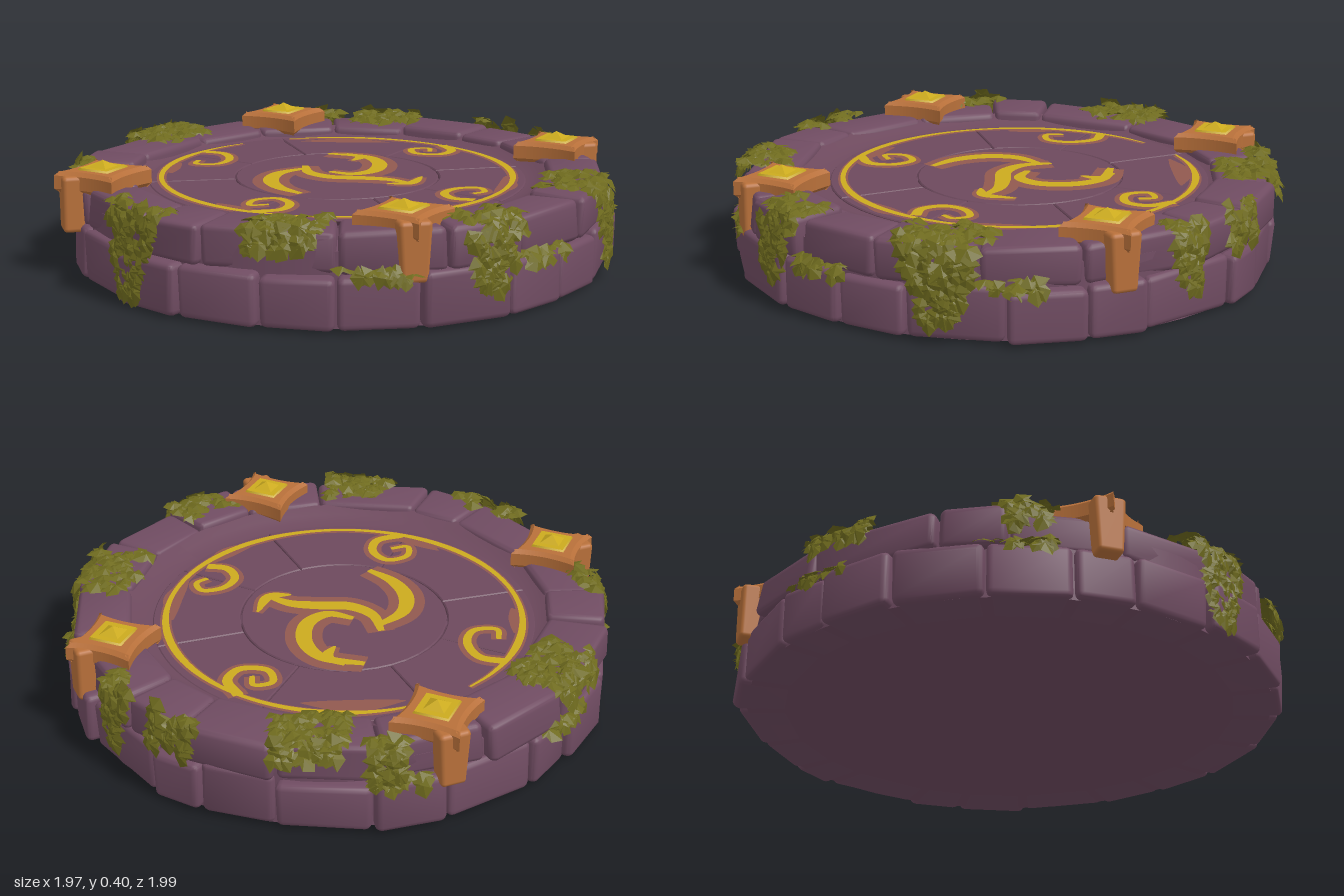
import * as THREE from 'three';
import { mergeGeometries, mergeVertices, toCreasedNormals } from 'three/addons/utils/BufferGeometryUtils.js';
import { RoundedBoxGeometry } from 'three/addons/geometries/RoundedBoxGeometry.js';

const mat = (name, color, side = THREE.FrontSide) => {
  const m = new THREE.MeshStandardMaterial({ color, side });
  m.name = name;
  return m;
};
const M = {
  stone: mat('purpleStone', 0x704c62),
  floor: mat('floorStone', 0x6d495d),
  halo: mat('wornPaint', 0x91594f, THREE.DoubleSide),
  gold: mat('gold', 0xcbaa1e, THREE.DoubleSide),
  copper: mat('copper', 0xb8703a),
  leaf: mat('ivyGreen', 0x6e6a1e, THREE.DoubleSide),
};
const RAD = Math.PI / 180, CX = 0.03, FX = 0.055, FZ = -0.045, FLOOR = 0.29;

let seed = 7;
const rnd = (a = 0, b = 1) => {
  seed = (seed * 16807) % 2147483647;
  return a + (b - a) * (seed / 2147483647);
};

function add(parent, name, geometry, material, x = 0, y = 0, z = 0) {
  const m = new THREE.Mesh(geometry, material);
  m.name = name;
  m.position.set(x, y, z);
  parent.add(m);
  return m;
}

// Rounded block bent around the centre, slightly chipped and tilted
function blockGeometry(a0, a1, rIn, rOut, y0, y1) {
  const R = (rIn + rOut) / 2, mid = (a0 + a1) / 2;
  let g = new RoundedBoxGeometry((a1 - a0) * R, y1 - y0, rOut - rIn, 2, 0.022);
  g.deleteAttribute('uv');
  g.deleteAttribute('normal');
  g.clearGroups();
  g = mergeVertices(g, 1e-4);
  const p = g.attributes.position, tilt = rnd(-0.05, 0.05), phase = rnd(0, 6), lean = rnd(-0.06, 0.06);
  for (let i = 0; i < p.count; i++) {
    const x = p.getX(i), y = p.getY(i), z = p.getZ(i);
    const a = mid - x / R;
    const r = R + z + (z > 0 ? x * tilt + y * lean + 0.006 * Math.sin(x * 25 + y * 40 + phase) : 0);
    const lift = y > 0 ? x * tilt * 0.5 + 0.004 * Math.sin(z * 30 + phase) : 0;
    p.setXYZ(i, r * Math.cos(a), (y0 + y1) / 2 + y + lift, r * Math.sin(a));
  }
  return toCreasedNormals(g, 0.7);
}

// Ring of unequal blocks
function stoneRing(parent, name, count, start, rIn, rOut, y0, y1, vary) {
  const cuts = [];
  for (let i = 0; i < count; i++) cuts.push(start + ((i + rnd(-0.2, 0.2)) / count) * Math.PI * 2);
  cuts.push(cuts[0] + Math.PI * 2);
  for (let i = 0; i < count; i++) {
    const g = blockGeometry(cuts[i] + 0.003, cuts[i + 1] - 0.003, rIn, rOut + rnd(-vary, vary), y0, y1 + rnd(-0.008, 0.008));
    add(parent, name, g, M.stone, CX);
  }
}

// Flat slab from a shape, top face at y = 0
function slab(shape, depth, bevel) {
  const g = new THREE.ExtrudeGeometry(shape, {
    depth: depth - 2 * bevel, bevelSize: bevel, bevelThickness: bevel, bevelOffset: -bevel, bevelSegments: 1, curveSegments: 20,
  });
  g.rotateX(Math.PI / 2);
  return g.translate(0, -bevel, 0);
}

// Tapered painted stroke lying on the floor
function stroke(curve, width, n, y) {
  const pos = [], idx = [];
  for (let i = 0; i <= n; i++) {
    const t = i / n, p = curve.getPoint(t), d = curve.getTangent(t), w = width(t) / 2;
    pos.push(p.x - d.z * w, y, p.z + d.x * w, p.x + d.z * w, y, p.z - d.x * w);
    if (i < n) { const k = i * 2; idx.push(k, k + 2, k + 1, k + 2, k + 3, k + 1); }
  }
  const g = new THREE.BufferGeometry();
  g.setAttribute('position', new THREE.Float32BufferAttribute(pos, 3));
  g.setIndex(idx);
  g.computeVertexNormals();
  return g;
}
const path = (pts) => new THREE.CatmullRomCurve3(pts.map(([x, z]) => new THREE.Vector3(x, 0, z)));
function painted(parent, name, curve, width, n, spread) {
  add(parent, name + 'Halo', stroke(curve, (t) => width(t) + spread, n, FLOOR + 0.003), M.halo);
  add(parent, name, stroke(curve, width, n, FLOOR + 0.006), M.gold);
}

// Lobed leaf, folded along its rib, pointing to +z
function leafGeometry() {
  const half = [[0.45, -0.08, 0.3], [0.22, 0, 0.45], [0.32, -0.06, 0.7]];
  const rim = [[0, 0, 0], ...half.map(([x, y, z]) => [-x, y, z]), [0, -0.1, 1], ...half.slice().reverse()];
  const pos = [];
  rim.forEach((v, i) => pos.push(0, 0.12, 0.45, ...v, ...rim[(i + 1) % rim.length]));
  const g = new THREE.BufferGeometry();
  g.setAttribute('position', new THREE.Float32BufferAttribute(pos, 3));
  g.computeVertexNormals();
  return g;
}

// Leaves scattered along a (radius, height) path, narrowing where they hang
function ivy(parent, name, angle, halfWidth, points, count) {
  const line = new THREE.CurvePath(), base = leafGeometry(), leaves = [];
  const v = points.map(([r, y]) => new THREE.Vector2(r, y));
  for (let i = 1; i < v.length; i++) line.add(new THREE.LineCurve(v[i - 1], v[i]));
  for (let i = 0; i < count; i++) {
    const t = (i + rnd()) / count * 0.999, p = line.getPoint(t), d = line.getTangent(t);
    const hang = Math.max(0, (points[0][1] - p.y) / 0.3);
    const a = angle * RAD + rnd(-1, 1) * halfWidth * (1 - 0.75 * Math.min(1, hang)) / p.x;
    const c = Math.cos(a), s = Math.sin(a);
    const z = new THREE.Vector3(d.x * c, d.y, d.x * s), y = new THREE.Vector3(-d.y * c, d.x, -d.y * s);
    const m = new THREE.Matrix4().makeBasis(new THREE.Vector3().crossVectors(y, z), y, z);
    m.setPosition(p.x * c, p.y + rnd(-0.004, 0.012), p.x * s);
    const turn = new THREE.Euler(rnd(-0.3, 0.1), rnd(-1, 1) * (hang > 0.2 ? 0.6 : 1.6), rnd(-0.3, 0.3));
    const size = rnd(0.065, 0.1);
    m.multiply(new THREE.Matrix4().makeRotationFromEuler(turn));
    m.multiply(new THREE.Matrix4().makeTranslation(0, 0, -size * 0.5));
    leaves.push(base.clone().applyMatrix4(m.scale(new THREE.Vector3(size, size, size))));
  }
  add(parent, name, mergeGeometries(leaves), M.leaf, CX);
}

// Copper corner clamp with a gold stud
function clamp(parent, x, z) {
  const g = new THREE.Group();
  g.name = 'cornerClamp';
  g.position.set(x, 0, z);
  g.rotation.y = Math.atan2(x - CX, z);
  const R = 0.17, q = 0.058, star = new THREE.Shape().moveTo(R, 0);
  star.quadraticCurveTo(q, q, 0, R).quadraticCurveTo(-q, q, -R, 0);
  star.quadraticCurveTo(-q, -q, 0, -R).quadraticCurveTo(q, -q, R, 0);
  add(g, 'clampCap', slab(star, 0.075, 0.014), M.copper, 0, 0.382, 0);
  const leg = new RoundedBoxGeometry(0.11, 0.2, 0.075, 2, 0.015), p = leg.attributes.position;
  for (let i = 0; i < p.count; i++) if (p.getY(i) < 0) p.setX(i, p.getX(i) * 0.8);
  add(g, 'clampLeg', leg, M.copper, 0, 0.27, 0.11);
  add(g, 'studPlate', new THREE.CylinderGeometry(0.082, 0.088, 0.008, 4).toNonIndexed(), M.gold, 0, 0.385, 0);
  const peak = new THREE.ConeGeometry(0.055, 0.026, 4).toNonIndexed();
  peak.computeVertexNormals();
  add(g, 'studPeak', peak, M.gold, 0, 0.4, 0);
  parent.add(g);
}

export function createModel() {
  const root = new THREE.Group();
  root.name = 'stonePlatform';

  // Two courses of blocks around a solid core
  add(root, 'core', new THREE.CylinderGeometry(0.92, 0.93, 0.25, 48), M.stone, CX, 0.146, 0);
  stoneRing(root, 'lowerBlock', 22, 0.1, 0.78, 0.965, 0.02, 0.2, 0.012);
  stoneRing(root, 'upperBlock', 17, 0.25, 0.745, 0.945, 0.195, 0.334, 0.016);

  // Sunken floor: sloping edge, ring of slabs and central disc
  const edge = [[0.66, 0.284], [0.7, 0.289], [0.73, 0.304], [0.775, 0.322]].map(([r, y]) => new THREE.Vector2(r, y));
  const slope = new THREE.LatheGeometry(edge.reverse(), 48);
  slope.computeVertexNormals();
  add(root, 'floorEdge', slope, M.floor.clone(), 0.045, 0, -0.025).material.side = THREE.DoubleSide;
  const cuts = [-62, -12, 35, 82, 118, 165, 218, 258, 298];
  for (let i = 0; i + 1 < cuts.length; i++) {
    const a = cuts[i] * RAD + 0.004, b = cuts[i + 1] * RAD - 0.004;
    const s = new THREE.Shape();
    s.absarc(0, 0, 0.68, a, b, false);
    s.absarc(0, 0, 0.37, b, a, true);
    add(root, 'floorSlab', slab(s, 0.03, 0.004), M.floor, FX, FLOOR, FZ);
  }
  const disc = new THREE.Shape();
  disc.absarc(0, 0, 0.367, 0, Math.PI * 2, false);
  add(root, 'floorDisc', slab(disc, 0.03, 0.004), M.floor, FX, FLOOR, FZ);

  // Painted ring
  const ring = [];
  for (let a = -60; a <= 282; a += 9) ring.push([FX + 0.632 * Math.cos(a * RAD), FZ + 0.636 * Math.sin(a * RAD)]);
  const ringWidth = (t) => 0.008 + 0.02 * Math.min(1, 12 * t, 12 * (1 - t)) * (0.75 + 0.25 * Math.sin(t * 29));
  painted(root, 'paintedRing', path(ring), ringWidth, 160, 0.016);

  // Curls on the ring
  const curls = [
    [[-0.02, -0.68], [0.01, -0.59], [-0.05, -0.5], [-0.13, -0.48], [-0.18, -0.54], [-0.13, -0.58]],
    [[-0.55, 0.13], [-0.46, 0.18], [-0.38, 0.14], [-0.36, 0.06], [-0.43, 0.02], [-0.49, 0.06], [-0.44, 0.1]],
    [[0.69, -0.08], [0.64, 0.01], [0.56, 0.02], [0.51, -0.06], [0.56, -0.12], [0.61, -0.08], [0.57, -0.04]],
    [[0.08, 0.57], [0.05, 0.5], [0.09, 0.43], [0.17, 0.42], [0.23, 0.47], [0.2, 0.52], [0.15, 0.51]],
  ];
  for (const c of curls) painted(root, 'paintedCurl', path(c), (t) => 0.038 - 0.02 * t, 40, 0.035);
  const patches = [
    [[-0.34, -0.5], [-0.29, -0.56], [-0.2, -0.6]], [[0.38, -0.54], [0.51, -0.42], [0.6, -0.27]],
    [[-0.18, 0.54], [-0.05, 0.58], [0.06, 0.58]], [[0.2, 0.56], [0.33, 0.52], [0.45, 0.42]],
    [[-0.54, -0.05], [-0.55, 0.06], [-0.51, 0.18]],
  ];
  for (const c of patches) {
    add(root, 'wornPatch', stroke(path(c), (t) => 0.005 + 0.065 * Math.sin(t * Math.PI), 16, FLOOR + 0.003), M.halo);
  }

  // Central three-armed swirl
  const arms = [
    [[-0.255, 0.07], [-0.24, -0.05], [-0.18, -0.15], [-0.08, -0.205], [0.04, -0.19]],
    [[0.07, -0.22], [0, -0.13], [0, -0.03], [0.06, 0.06], [0.11, 0.15], [0.12, 0.235]],
    [[0.06, -0.09], [0.09, 0], [0.18, 0.02], [0.29, -0.05], [0.335, -0.16], [0.28, -0.3]],
  ];
  for (const c of arms) painted(root, 'swirlArm', path(c), (t) => 0.012 + 0.045 * Math.sin(t * 2.6 + 0.25), 40, 0.075);
  const tips = [
    [[0.06, 0.19], [0.12, 0.245], [0.23, 0.21]],
    [[0.25, -0.15], [0.32, -0.17], [0.33, -0.25]],
  ];
  for (const c of tips) painted(root, 'swirlTip', path(c), (t) => 0.008 + 0.035 * Math.sin(t * Math.PI), 16, 0.03);

  for (const [x, z] of [[0.465, -0.72], [-0.71, -0.44], [-0.42, 0.685], [0.75, 0.42]]) clamp(root, x, z);

  // Ivy over the rim: angle, half width, inner radius, lowest height, leaves
  const clusters = [
    [-94, 0.13, 0.77, 0.27, 80], [-134, 0.08, 0.88, 0.25, 26], [-46, 0.06, 0.91, 0.2, 22], [-30.5, 0.11, 0.77, 0.29, 60],
    [-2, 0.11, 0.94, 0.22, 26], [14.5, 0.08, 0.89, 0.12, 40], [183, 0.14, 0.89, 0.05, 75], [149, 0.12, 0.79, 0.27, 60],
    [107, 0.12, 0.81, 0.12, 75], [66, 0.14, 0.75, 0.08, 95],
  ];
  for (const [a, w, r, y, n] of clusters) ivy(root, 'ivyCluster', a, w, [[r, 0.345], [0.945, 0.345], [0.965, 0.3], [0.975, y]], n);

  // Moss on the lower ledge
  for (const a of [92, 50, -90, 130, -48, -132]) ivy(root, 'ledgeMoss', a, 0.11, [[0.93, 0.208], [0.96, 0.2], [0.968, 0.18]], 16);
  return root;
}
